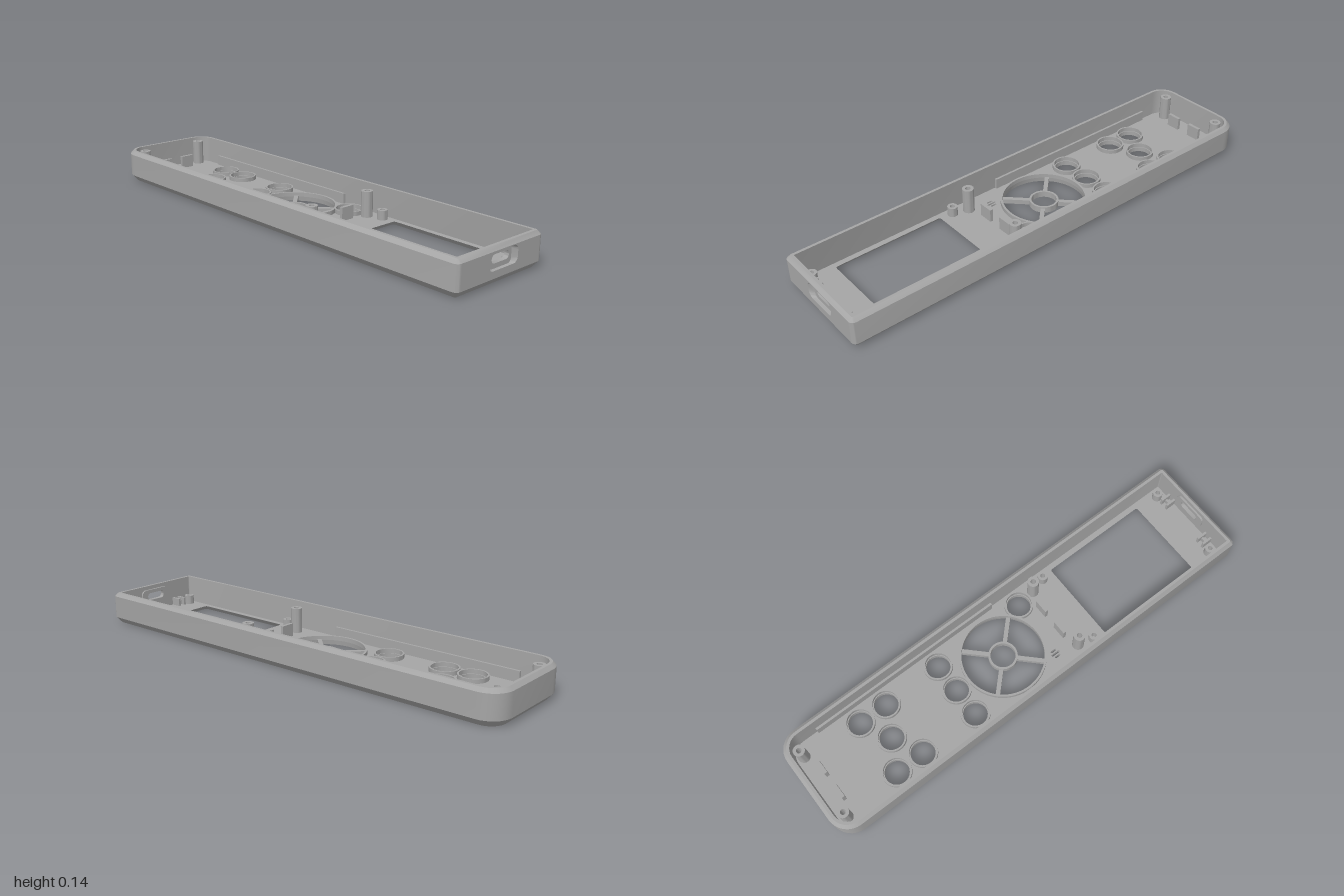
import * as THREE from 'three';
import { toCreasedNormals } from 'three/addons/utils/BufferGeometryUtils.js';

const FLOOR = 0.02, RIM = 0.14, WALL = 0.026, HALF_W = 0.233;

// Rounded rectangle as a counter-clockwise point list; rHigh rounds the b1 corners, rLow the b0 corners
function roundedRect(a0, a1, b0, b1, rHigh, rLow = rHigh, seg = 8) {
  const corners = [
    [a0 + rHigh, b1 - rHigh, rHigh, 1], [a0 + rLow, b0 + rLow, rLow, 2],
    [a1 - rLow, b0 + rLow, rLow, 3], [a1 - rHigh, b1 - rHigh, rHigh, 0],
  ];
  const pts = [];
  for (const [a, b, r, q] of corners) {
    for (let i = 0; i <= seg; i++) {
      const t = (q + i / seg) * Math.PI / 2;
      pts.push([a + r * Math.cos(t), b + r * Math.sin(t)]);
    }
  }
  return pts;
}

function circle(cx, cz, r, n = 40) {
  return Array.from({ length: n }, (_, i) => {
    const t = i / n * Math.PI * 2;
    return [cx + r * Math.cos(t), cz + r * Math.sin(t)];
  });
}

const atY = (pts, y) => pts.map(([x, z]) => [x, y, z]);
const atZ = (pts, z) => pts.map(([x, y]) => [x, y, z]);

// Skin between closed rings; bands in `open` leave out their closing (front) quad
function loft(rings, open = []) {
  const n = rings[0].length, index = [];
  for (let k = 0; k < rings.length - 1; k++) {
    for (let i = 0; i < (open.includes(k) ? n - 1 : n); i++) {
      const j = (i + 1) % n, a = k * n, b = a + n;
      index.push(a + i, b + i, a + j, a + j, b + i, b + j);
    }
  }
  const g = new THREE.BufferGeometry();
  g.setAttribute('position', new THREE.Float32BufferAttribute(rings.flat(2), 3));
  g.setIndex(index);
  g.computeVertexNormals();
  return g;
}

function flatFace(outline, holes) {
  const vec = (pts) => pts.map(([a, b]) => new THREE.Vector2(a, b));
  const shape = new THREE.Shape(vec(outline));
  shape.holes = holes.map((h) => new THREE.Path(vec(h)));
  return new THREE.ShapeGeometry(shape);
}
const flipB = (pts) => pts.map(([a, b]) => [a, -b]);
const flipA = (pts) => pts.map(([a, b]) => [-a, b]);
const faceUp = (y, outline, holes) =>
  flatFace(flipB(outline), holes.map(flipB)).rotateX(-Math.PI / 2).translate(0, y, 0);
const faceDown = (y, outline, holes) => flatFace(outline, holes).rotateX(Math.PI / 2).translate(0, y, 0);
const faceFront = (z, outline, holes) => flatFace(outline, holes).translate(0, 0, z);
const faceBack = (z, outline, holes) =>
  flatFace(flipA(outline), holes.map(flipA)).rotateY(Math.PI).translate(0, 0, z);

// Casing outline: tight corners at the front, wide ones at the back
const outline = (inset) => roundedRect(-HALF_W + inset, HALF_W - inset, -1 + inset, 1 - inset,
  Math.max(0.02 - inset, 0.004), 0.09 - inset);

export function createModel() {
  const model = new THREE.Group();
  const plastic = new THREE.MeshStandardMaterial({ color: 0xa5a5a5, side: THREE.DoubleSide });
  plastic.name = 'greyPlastic';
  const add = (name, geometry, x = 0, y = 0, z = 0) => {
    const mesh = new THREE.Mesh(toCreasedNormals(geometry, 0.5), plastic);
    mesh.name = name;
    mesh.position.set(x, y, z);
    model.add(mesh);
    return mesh;
  };
  const box = (name, w, h, d, x, y, z) => add(name, new THREE.BoxGeometry(w, h, d), x, y + h / 2, z);
  // Raised tube with rectangular section
  const tube = (name, rIn, rOut, y0, y1, x, z, n = 40) => add(name, new THREE.LatheGeometry(
    [[rIn, y0], [rOut, y0], [rOut, y1], [rIn, y1], [rIn, y0]].map(([r, y]) => new THREE.Vector2(r, y)), n), x, 0, z);

  // Side walls: bottom bevel, outside, rim bevel, rim and inside
  const profile = [[0.023, 0], [0, 0.027], [0, 0.125], [0.014, RIM], [WALL, RIM], [WALL, FLOOR]];
  add('sideWalls', loft(profile.map(([inset, y]) => atY(outline(inset), y)), [1, 4]));

  // Front wall with a port recess, its slot and the boss behind it
  const recessOuter = roundedRect(-0.068, 0.09, 0.055, 0.122, 0.022);
  const recessInner = roundedRect(-0.05, 0.072, 0.055, 0.122, 0.018);
  const slot = roundedRect(-0.036, 0.059, 0.073, 0.106, 0.0155);
  const rect = (w, y0, y1) => [[-w, y0], [w, y0], [w, y1], [-w, y1]];
  const zIn = 1 - WALL, zRecess = 0.985, zBoss = 0.966;
  add('frontWallOutside', faceFront(1, rect(0.213, 0.027, 0.125), [recessOuter]));
  add('frontWallInside', faceBack(zIn, rect(0.203, FLOOR, RIM), [recessOuter]));
  add('portRecessSides', loft([atZ(recessInner, zRecess), atZ(recessOuter, 1)]));
  add('portRecessFace', faceFront(zRecess, recessInner, [slot]));
  add('portSlot', loft([atZ(slot, zBoss), atZ(slot, zRecess)]));
  add('portBossSides', loft([atZ(recessOuter, zIn), atZ(recessOuter, zBoss)]));
  add('portBossFace', faceBack(zBoss, recessOuter, [slot]));

  // Openings in the floor, each as [inside outline, underside outline]
  const buttons = [[0, -0.62], [0, -0.295], [0.137, 0.135]];
  for (const x of [-0.127, 0.127]) for (const z of [-0.685, -0.558, -0.295]) buttons.push([x, z]);
  const dialZ = -0.055;
  const openings = buttons.map(([x, z]) => [circle(x, z, 0.05), circle(x, z, 0.05)]);
  openings.push([circle(0, dialZ, 0.172, 72), circle(0, dialZ, 0.175, 72)]);
  openings.push([roundedRect(-0.183, 0.183, 0.345, 0.83, 0.01), roundedRect(-0.2, 0.2, 0.325, 0.85, 0.01)]);
  for (const [dx, h] of [[-0.014, 0.013], [0, 0.02], [0.014, 0.013]]) {
    const x = -0.125 + dx;
    const grille = roundedRect(x - 0.004, x + 0.004, 0.124 - h, 0.124 + h, 0.003);
    openings.push([grille, grille]);
  }
  add('floorInside', faceUp(FLOOR, outline(WALL), openings.map((o) => o[0])));
  add('floorUnderside', faceDown(0, outline(0.023), openings.map((o) => o[1])));
  for (const [top, bottom] of openings) add('openingEdge', loft([atY(top, FLOOR), atY(bottom, 0)]));

  // Collars around the button holes
  for (const [x, z] of buttons) tube('buttonCollar', 0.054, 0.061, FLOOR, 0.038, x, z);

  // Dial: outer collar, hub ring and four diagonal spokes
  tube('dialCollar', 0.172, 0.181, FLOOR, 0.038, 0, dialZ, 72);
  tube('dialHub', 0.052, 0.061, 0.004, 0.03, 0, dialZ);
  for (let i = 0; i < 4; i++) {
    const t = Math.PI / 4 + i * Math.PI / 2, r = 0.116;
    box('dialSpoke', 0.116, 0.02, 0.018, r * Math.cos(t), 0.004, dialZ + r * Math.sin(t)).rotation.y = -t;
  }

  // Mirrored fittings inside the casing
  for (const s of [-1, 1]) {
    for (const z of [-0.94, 0.222]) tube('tallScrewPost', 0.011, 0.024, FLOOR, 0.128, s * 0.151, z, 28);
    for (const z of [0.29, 0.935]) tube('shortScrewPost', 0.01, 0.021, FLOOR, 0.06, s * 0.17, z, 28);
    for (const z of [-0.908, 0.198]) box('boardClip', 0.062, 0.056, 0.014, s * 0.06, FLOOR, z);
    box('sideRib', 0.012, 0.045, 0.88, s * 0.203, FLOOR, -0.4);
    for (const x of [0.102, 0.134]) box('portSupportFin', 0.01, 0.035, 0.048, s * x, FLOOR, 0.952);
    box('portSupportBridge', 0.032, 0.02, 0.01, s * 0.118, FLOOR, 0.952);
  }
  return model;
}
